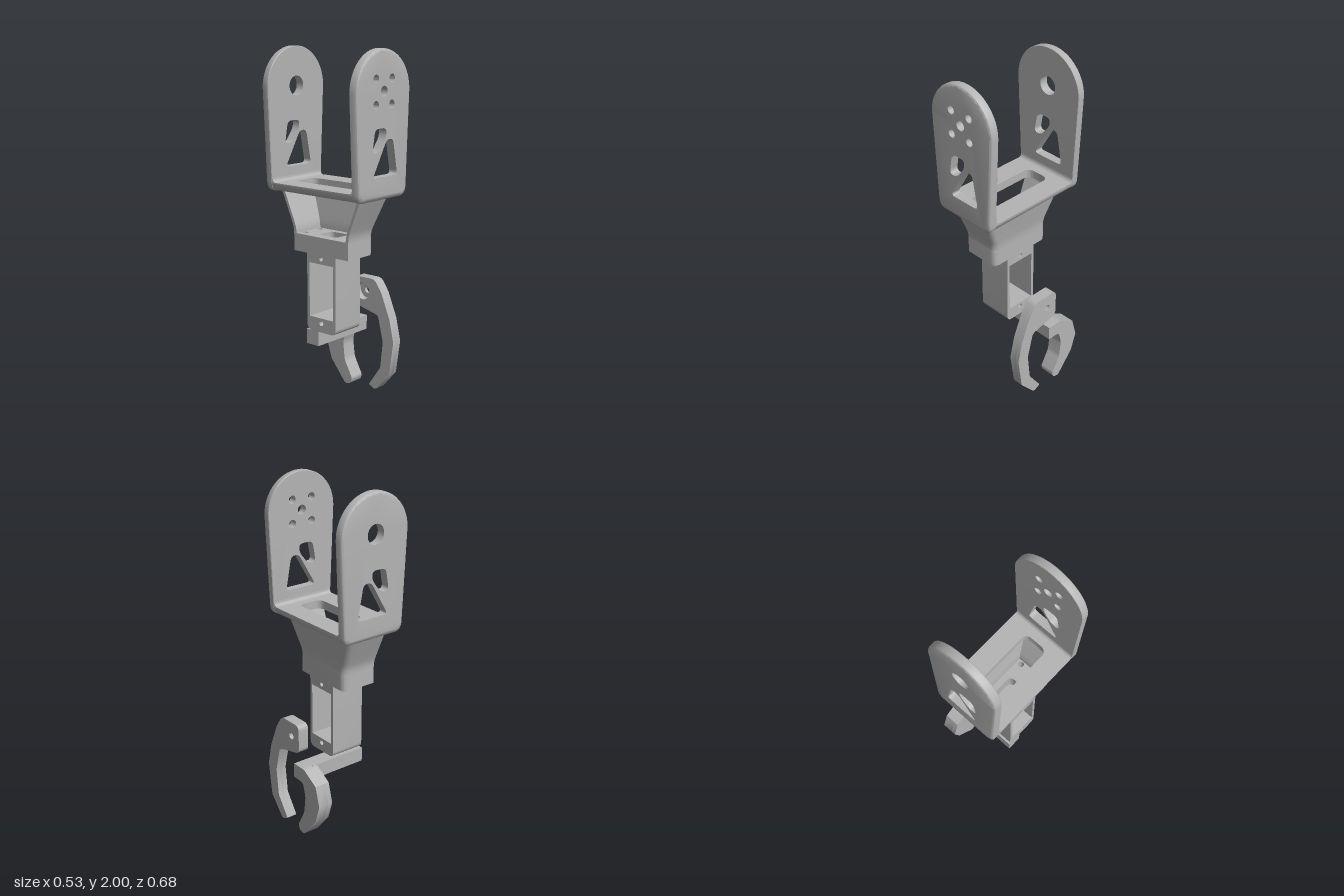
import * as THREE from 'three';
import { toCreasedNormals } from 'three/addons/utils/BufferGeometryUtils.js';

const CX = -0.04; // centre line of the fork

// Closed outline with every corner rounded; r is a number or one radius per corner
function rounded(pts, r, Type = THREE.Shape) {
  const s = new Type();
  const v = pts.map((p) => new THREE.Vector2(...p));
  v.forEach((p, i) => {
    const a = v[(i + v.length - 1) % v.length], b = v[(i + 1) % v.length];
    const rad = Array.isArray(r) ? r[i] : r;
    const cut = (q) => p.clone().add(q.clone().sub(p).setLength(Math.min(rad, q.distanceTo(p) * 0.49)));
    const p0 = cut(a), p1 = cut(b);
    if (i === 0) s.moveTo(p0.x, p0.y); else s.lineTo(p0.x, p0.y);
    if (rad > 0) s.quadraticCurveTo(p.x, p.y, p1.x, p1.y);
  });
  s.closePath();
  return s;
}
const rect = (x0, x1, y0, y1) => [[x0, y0], [x1, y0], [x1, y1], [x0, y1]];
const circle = (x, y, r) => new THREE.Path().absarc(x, y, r, 0, Math.PI * 2, true);

// Extrude from w0 to w1 along z, x or y (x: shape is -z,y; y: shape is x,-z)
function extrude(shape, w0, w1, axis = 'z') {
  const g = new THREE.ExtrudeGeometry(shape, { depth: w1 - w0, bevelEnabled: false, curveSegments: 10 });
  g.translate(0, 0, w0);
  if (axis === 'x') g.rotateY(Math.PI / 2);
  if (axis === 'y') g.rotateX(-Math.PI / 2);
  return toCreasedNormals(g, 0.6);
}

// Extrude through given layers, then let a rule pull in the outline per layer
function layered(shape, layers, rule) {
  const n = layers.length - 1;
  const g = new THREE.ExtrudeGeometry(shape, { depth: n, steps: n, bevelEnabled: false, curveSegments: 16 });
  const p = g.attributes.position;
  for (let i = 0; i < p.count; i++) {
    const [w, inset] = layers[Math.round(p.getZ(i))];
    const [x, y] = rule(p.getX(i), p.getY(i), inset);
    p.setXYZ(i, x, y, w);
  }
  return g;
}

// One cheek of the fork, outer edge rounded
function cheek(holes) {
  const s = new THREE.Shape();
  s.moveTo(0.115, 1.205);
  s.quadraticCurveTo(0.16, 1.205, 0.162, 1.255);
  s.lineTo(0.185, 1.775);
  s.absarc(CX, 1.775, 0.225, 0, Math.PI, false);
  s.lineTo(-0.242, 1.255);
  s.quadraticCurveTo(-0.24, 1.205, -0.195, 1.205);
  s.closePath();
  s.holes.push(...holes,
    rounded([[-0.13, 1.33], [0.075, 1.33], [0.037, 1.527], [-0.015, 1.527]], 0.028, THREE.Path),
    rounded([[-0.135, 1.462], [-0.112, 1.588], [-0.02, 1.588], [-0.02, 1.54], [-0.08, 1.462]], 0.03, THREE.Path));
  const layers = [[0.29, 0.003], [0.294, 0], [0.324, 0], [0.334, 0.004], [0.34, 0.013]];
  return layered(s, layers, (x, y, d) => {
    const dx = x - CX;
    if (y > 1.3 && y < 1.9 && Math.abs(dx) < 0.15) return [x, y];
    if (y > 1.775) {
      const k = 1 - d / 0.225;
      return [CX + dx * k, 1.775 + (y - 1.775) * k];
    }
    return [CX + dx * (1 - d / 0.2), y < 1.27 ? y + d * 1.8 : y];
  });
}

// Neck wall: open towards -x, flaring upwards
function neckWall() {
  const section = (y) => {
    const t = Math.max(0, (y - 0.97) / 0.235);
    const f = t < 0.25 ? t * t * 2 : t - 0.125;
    const zo = 0.2 + 0.097 * f, xr = 0.05 + 0.04 * f, xl = -0.163 - 0.006 * f;
    const zi = zo - 0.018, xi = xr - 0.015, r = 0.035;
    const ring = [[xl, zo]];
    for (const side of [1, -1]) {
      for (let k = 0; k <= 5; k++) {
        const a = (side > 0 ? k : 5 - k) / 5 * Math.PI / 2;
        ring.push([xr - r + r * Math.sin(a), side * (zo - r + r * Math.cos(a))]);
      }
    }
    ring.push([xl, -zo], [xl, -zi], [xi, -zi], [xi, zi], [xl, zi]);
    return ring.map(([x, z]) => [x, y, z]);
  };
  const ys = [0.96, 0.97, 0.99, 1.01, 1.03, 1.09, 1.15, 1.21];
  const pos = [];
  for (let j = 0; j < ys.length - 1; j++) {
    const a = section(ys[j]), b = section(ys[j + 1]);
    a.forEach((p, i) => {
      const k = (i + 1) % a.length;
      pos.push(...p, ...a[k], ...b[k], ...p, ...b[k], ...b[i]);
    });
  }
  const g = new THREE.BufferGeometry();
  g.setAttribute('position', new THREE.Float32BufferAttribute(pos, 3));
  return toCreasedNormals(g, 0.6);
}

export function createModel() {
  const model = new THREE.Group();
  const grey = new THREE.MeshStandardMaterial({ color: 0xb4b4b4 });
  grey.name = 'plain grey';
  const add = (name, geometry) => {
    const m = new THREE.Mesh(geometry, grey);
    m.name = name;
    model.add(m);
    return m;
  };

  // Fork cheeks: bolt pattern in front, one large bore behind
  const bolts = [circle(CX, 1.78, 0.028)];
  for (const x of [-0.107, 0.024]) for (const y of [1.71, 1.845]) bolts.push(circle(x, y, 0.023));
  add('frontCheek', toCreasedNormals(cheek(bolts), 0.6));
  const back = cheek([circle(CX, 1.78, 0.055)]);
  back.rotateY(Math.PI);
  // turned about y, then mirrored in x with the winding restored
  const bp = back.attributes.position;
  for (let i = 0; i < bp.count; i++) bp.setX(i, -bp.getX(i));
  for (let i = 0; i < bp.count; i += 3) {
    const a = new THREE.Vector3().fromBufferAttribute(bp, i + 1);
    const b = new THREE.Vector3().fromBufferAttribute(bp, i + 2);
    bp.setXYZ(i + 1, b.x, b.y, b.z);
    bp.setXYZ(i + 2, a.x, a.y, a.z);
  }
  add('backCheek', toCreasedNormals(back, 0.6));

  // Fork floor with its long opening, lower edges rounded
  const floor = rounded(rect(-0.24, 0.16, -0.3, 0.3), 0);
  floor.holes.push(rounded(rect(-0.115, 0.035, -0.227, 0.227), 0.045, THREE.Path));
  const floorGeo = layered(floor, [[1.205, 0.045], [1.211, 0.022], [1.222, 0.009], [1.245, 0], [1.255, 0]],
    (x, y, d) => [Math.abs(x - CX) > 0.15 ? CX + (x - CX) * (1 - d / 0.2) : x, y]);
  floorGeo.rotateX(-Math.PI / 2);
  add('forkFloor', toCreasedNormals(floorGeo, 0.6));

  // Fillets between floor and cheeks
  for (const s of [-1, 1]) {
    const f = new THREE.Shape();
    f.moveTo(s * 0.295, 1.25);
    f.lineTo(s * 0.295, 1.28);
    f.lineTo(s * 0.29, 1.28);
    f.quadraticCurveTo(s * 0.29, 1.255, s * 0.265, 1.255);
    f.lineTo(s * 0.265, 1.25);
    f.closePath();
    add('forkFillet', extrude(f, -0.238, 0.158, 'x'));
  }

  // Neck: hollow wall on a drilled base
  add('neckWall', neckWall());
  const base = rounded(rect(-0.163, 0.05, -0.2, 0.2), [0, 0.04, 0.04, 0]);
  base.holes.push(rounded(rect(-0.108, 0, -0.066, 0.066), 0.03, THREE.Path));
  for (const x of [-0.115, 0.005]) for (const z of [-0.16, 0.16]) base.holes.push(circle(x, z, 0.017));
  add('neckBase', extrude(base, 0.87, 0.97, 'y'));

  // Forearm frame with an open window
  const frame = rounded(rect(-0.105, 0.105, 0.425, 0.87), [0.035, 0.035, 0, 0]);
  frame.holes.push(rounded(rect(-0.087, 0.087, 0.507, 0.818), 0, THREE.Path),
    circle(0, 0.848, 0.013), circle(0, 0.478, 0.015));
  add('forearmFrame', extrude(frame, -0.16, 0.05, 'x'));

  // Cross bar carrying the fixed finger
  const bar = add('crossBar', new THREE.BoxGeometry(0.36, 0.085, 0.09));
  bar.position.set(0.02, 0.3825, -0.067);

  // Fixed finger
  const fixed = rounded([[0.022, 0.34], [0.105, 0.337], [0.127, 0.255], [0.115, 0.15], [0.058, 0.045],
    [0.07, 0.012], [0.11, 0.002], [0.22, 0.135], [0.255, 0.245], [0.222, 0.362], [0.115, 0.425], [0.022, 0.425]],
  [0, 0.025, 0.02, 0.02, 0.012, 0.01, 0.015, 0, 0, 0, 0.02, 0]);
  const root = rounded(rect(0.022, 0.112, 0.34, 0.425), 0);
  add('fixedFinger', extrude(fixed, 0.2, 0.265, 'x'));
  const lower = rounded([[0.09, 0.337], [0.105, 0.337], [0.127, 0.255], [0.115, 0.15], [0.058, 0.045],
    [0.07, 0.012], [0.11, 0.002], [0.22, 0.135], [0.255, 0.245], [0.222, 0.362], [0.115, 0.425], [0.09, 0.425]],
  [0, 0.01, 0.02, 0.02, 0.012, 0.01, 0.015, 0, 0, 0, 0.02, 0]);
  add('fixedFingerInner', extrude(lower, 0.173, 0.2, 'x'));
  add('fixedFingerRoot', extrude(root, 0.173, 0.2, 'x'));

  // Moving finger: small pivot hole outside, wide recess inside
  for (const [x0, x1, r] of [[0.2, 0.243, 0.05], [0.243, 0.265, 0.02]]) {
    const moving = rounded([[-0.09, 0.675], [-0.14, 0.6], [-0.2, 0.455], [-0.23, 0.32], [-0.202, 0.125],
      [-0.1, 0.005], [-0.05, 0.028], [-0.135, 0.15], [-0.153, 0.31], [-0.115, 0.465], [0.07, 0.508], [0.07, 0.675]],
    [0.03, 0, 0, 0, 0, 0.02, 0.01, 0, 0, 0.02, 0.03, 0.035]);
    moving.holes.push(circle(0, 0.59, r));
    add('movingFinger', extrude(moving, x0, x1, 'x'));
  }
  return model;
}
